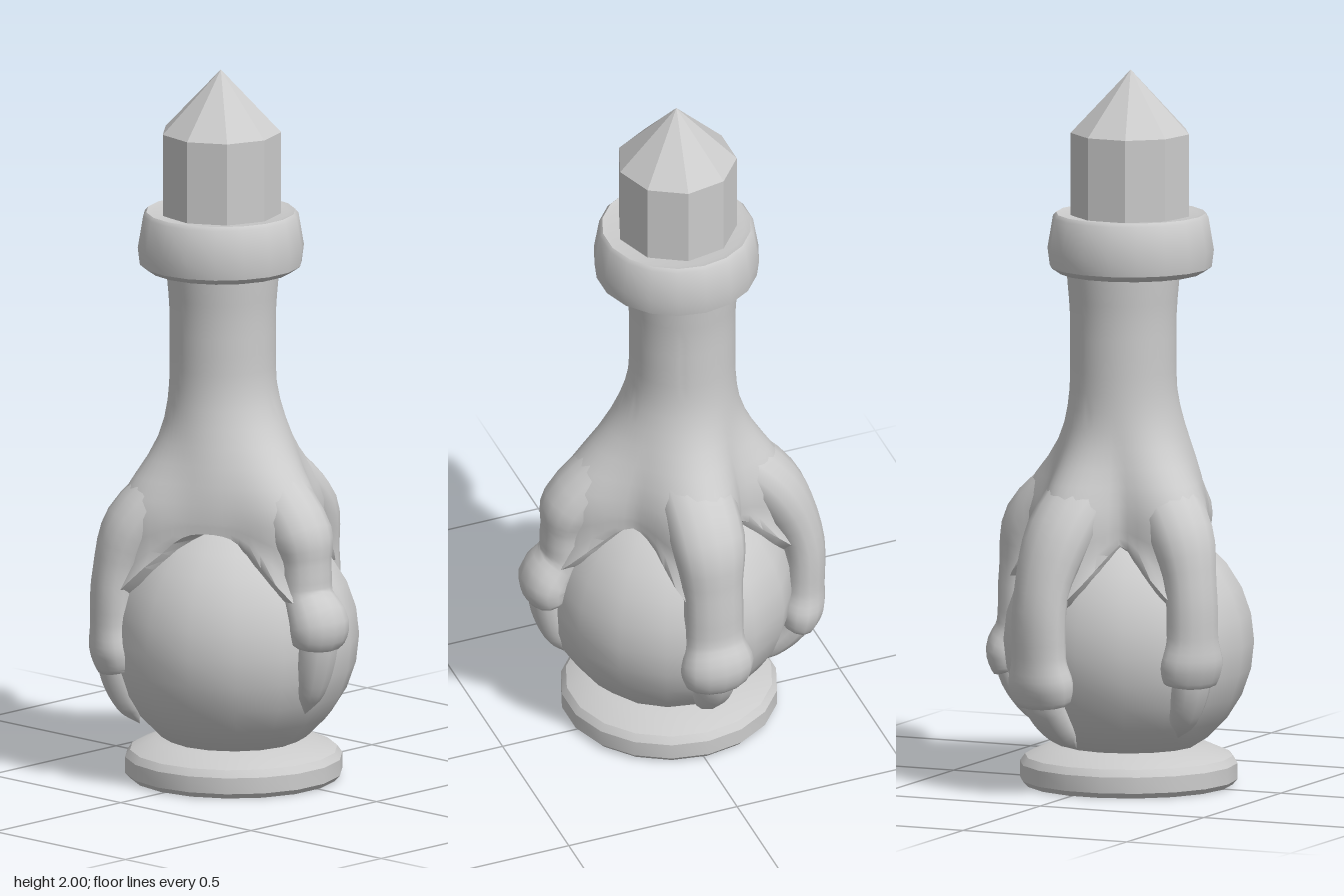
import * as THREE from 'three';
import { toCreasedNormals } from 'three/addons/utils/BufferGeometryUtils.js';

const material = new THREE.MeshStandardMaterial({ color: 0xcccccc });
const { degToRad, lerp, smoothstep } = THREE.MathUtils;
const AXIS = new THREE.Vector3(-0.01, 0, 0.04); // axis of ball and base
const BALL_R = 0.347, BALL_Y = 0.4;

// Each toe: angle around the ball, foot height, radius at shin and knuckle, width, claw tip
const toes = [
  { name: 'leftToe', angle: 5, foot: 0.435, shin: 0.305, knuckle: 0.36, width: 0.88, tipR: 0.3, tipY: 0.225 },
  { name: 'backToe', angle: -91, foot: 0.3, shin: 0.32, knuckle: 0.35, width: 1, tipR: 0.235, tipY: 0.14 },
  { name: 'rightToe', angle: 197, foot: 0.265, shin: 0.362, knuckle: 0.362, width: 1, tipR: 0.215, tipY: 0.12 },
  { name: 'frontToe', angle: 124, foot: 0.325, shin: 0.335, knuckle: 0.337, width: 0.9, tipR: 0.265, tipY: 0.16 },
];

function part(name, geometry, x = 0, y = 0, z = 0) {
  const mesh = new THREE.Mesh(geometry, material);
  mesh.name = name;
  mesh.position.set(x, y, z);
  return mesh;
}

// Skin closed rings of points, ordered from top to bottom
function skin(rings) {
  const n = rings[0].length, index = [];
  for (let i = 0; i < rings.length - 1; i++) {
    for (let j = 0; j < n; j++) {
      const a = i * n + j, b = i * n + (j + 1) % n;
      index.push(a, b, a + n, b, b + n, a + n);
    }
  }
  const g = new THREE.BufferGeometry().setFromPoints(rings.flat());
  g.setIndex(index);
  return toCreasedNormals(g, 1.1);
}

// Sweep an ellipse down a path lying in a vertical plane at the given angle.
// Stations are [radius, height, half width, half thickness].
function limb(angle, stations, steps, sides) {
  const path = new THREE.CatmullRomCurve3(stations.map(s => new THREE.Vector3(s[0], s[1], 0)));
  const size = new THREE.CatmullRomCurve3(stations.map(s => new THREE.Vector3(s[2], s[3], 0)));
  const out = new THREE.Vector3(Math.cos(angle), 0, Math.sin(angle));
  const side = new THREE.Vector3(-Math.sin(angle), 0, Math.cos(angle));
  const rings = [];
  for (let i = 0; i <= steps; i++) {
    const p = path.getPoint(i / steps), t = path.getTangent(i / steps), s = size.getPoint(i / steps);
    rings.push(Array.from({ length: sides }, (_, j) => {
      const a = j / sides * Math.PI * 2, c = Math.max(0, s.y) * Math.cos(a);
      const q = AXIS.clone().addScaledVector(out, p.x - t.y * c);
      q.addScaledVector(side, Math.max(0, s.x) * Math.sin(a));
      q.y = p.y + t.x * c;
      return q;
    }));
  }
  return skin(rings);
}

// Toe: root buried in the leg, slim shin, swollen knuckle, blunt end
function toeGeometry({ angle, foot, shin, knuckle, width: w }) {
  return limb(degToRad(angle), [
    [0.06, 0.97, 0.05 * w, 0.03],
    [0.16, 0.86, 0.105 * w, 0.07],
    [0.285, 0.73, 0.105 * w, 0.078],
    [shin, (foot + 0.86) / 2, 0.085 * w, 0.063],
    [shin + 0.008, foot + 0.13, 0.085 * w, 0.062],
    [knuckle, foot + 0.055, 0.105 * w, 0.07],
    [knuckle - 0.008, foot, 0.092 * w, 0.055],
    [knuckle - 0.01, foot - 0.005, 0, 0],
  ], 28, 14);
}

// Claw: tapers and curls inward to a rounded tip
function clawGeometry({ angle, foot, knuckle, tipR, tipY }) {
  const stations = [0, 1, 2, 3, 4].map(i => {
    const k = i / 4, taper = Math.sqrt(1 - k * k);
    return [lerp(knuckle, tipR, k ** 1.6), lerp(foot + 0.03, tipY, k), 0.062 * taper, 0.05 * taper];
  });
  return limb(degToRad(angle), stations, 10, 10);
}

// Round neck spreading into lobes, with webs arching over the ball between the toes
function legGeometry() {
  const sides = 60, shoulder = 0.76;
  const ballRadius = y => Math.sqrt(BALL_R ** 2 - (y - BALL_Y) ** 2);
  const ring = (top, web, inset) => {
    const spread = 1 - smoothstep(top, 0.75, 1.15);
    const valley = 0.147 + 0.068 * spread + 0.01 * smoothstep(top, 1.3, 1.46);
    const cx = lerp(-0.05, AXIS.x, spread);
    return Array.from({ length: sides }, (_, j) => {
      const a = j / sides * Math.PI * 2;
      const near = Math.max(0, ...toes.map(t => Math.cos(a - degToRad(t.angle))));
      const y = top - web * (0.03 + 0.22 * near ** 10);
      const lobed = valley + 0.115 * spread ** 2.5 * near ** 8;
      const hugged = ballRadius(Math.min(y, 0.74)) + 0.035;
      let r = web > 0 ? Math.max(lobed, hugged) : lobed;
      if (inset) r = hugged - 0.065;
      return new THREE.Vector3(cx + r * Math.cos(a), y, 0.042 + r * Math.sin(a));
    });
  };
  const neck = Array.from({ length: 15 }, (_, i) => ring(lerp(1.46, shoulder, i / 14), 0, false));
  const webs = [0.33, 0.67, 1].map(k => ring(shoulder, k, false));
  return skin([...neck, ...webs, ring(shoulder - 0.015, 1, true)]);
}

function lathe(profile, crease) {
  return toCreasedNormals(new THREE.LatheGeometry(profile.map(p => new THREE.Vector2(...p)), 18), crease);
}

export function createModel() {
  const model = new THREE.Group();
  model.name = 'clawAndBallFinial';

  // Base plate and ball
  model.add(part('base', lathe([[0, 0], [0.288, 0], [0.302, 0.015], [0.302, 0.06], [0.288, 0.08],
    [0.22, 0.11], [0, 0.115]], 0.5), AXIS.x, 0, AXIS.z));
  model.add(part('ball', new THREE.SphereGeometry(BALL_R, 16, 14), AXIS.x, BALL_Y, AXIS.z));

  // Leg, toes and claws
  model.add(part('leg', legGeometry()));
  for (const t of toes) {
    const group = new THREE.Group();
    group.name = t.name;
    group.add(part('toe', toeGeometry(t)), part('claw', clawGeometry(t)));
    model.add(group);
  }

  // Collar with a nearly flat top
  model.add(part('collar', lathe([[0, 1.44], [0.2, 1.435], [0.225, 1.452], [0.231, 1.5],
    [0.216, 1.59], [0.207, 1.6], [0.19, 1.596], [0, 1.59]], 0.7), -0.04, 0, 0.06));

  // Nine-sided crystal
  const crystal = new THREE.Group();
  crystal.name = 'crystal';
  const shaft = new THREE.CylinderGeometry(0.167, 0.167, 0.3, 9).rotateY(Math.PI / 2);
  const point = new THREE.ConeGeometry(0.167, 0.175, 9).rotateY(Math.PI / 2);
  crystal.add(part('shaft', toCreasedNormals(shaft, 0.1), 0, 1.675, 0));
  crystal.add(part('point', toCreasedNormals(point, 0.1), 0, 1.9125, 0));
  crystal.position.set(-0.04, 0, 0.06);
  model.add(crystal);

  return model;
}
